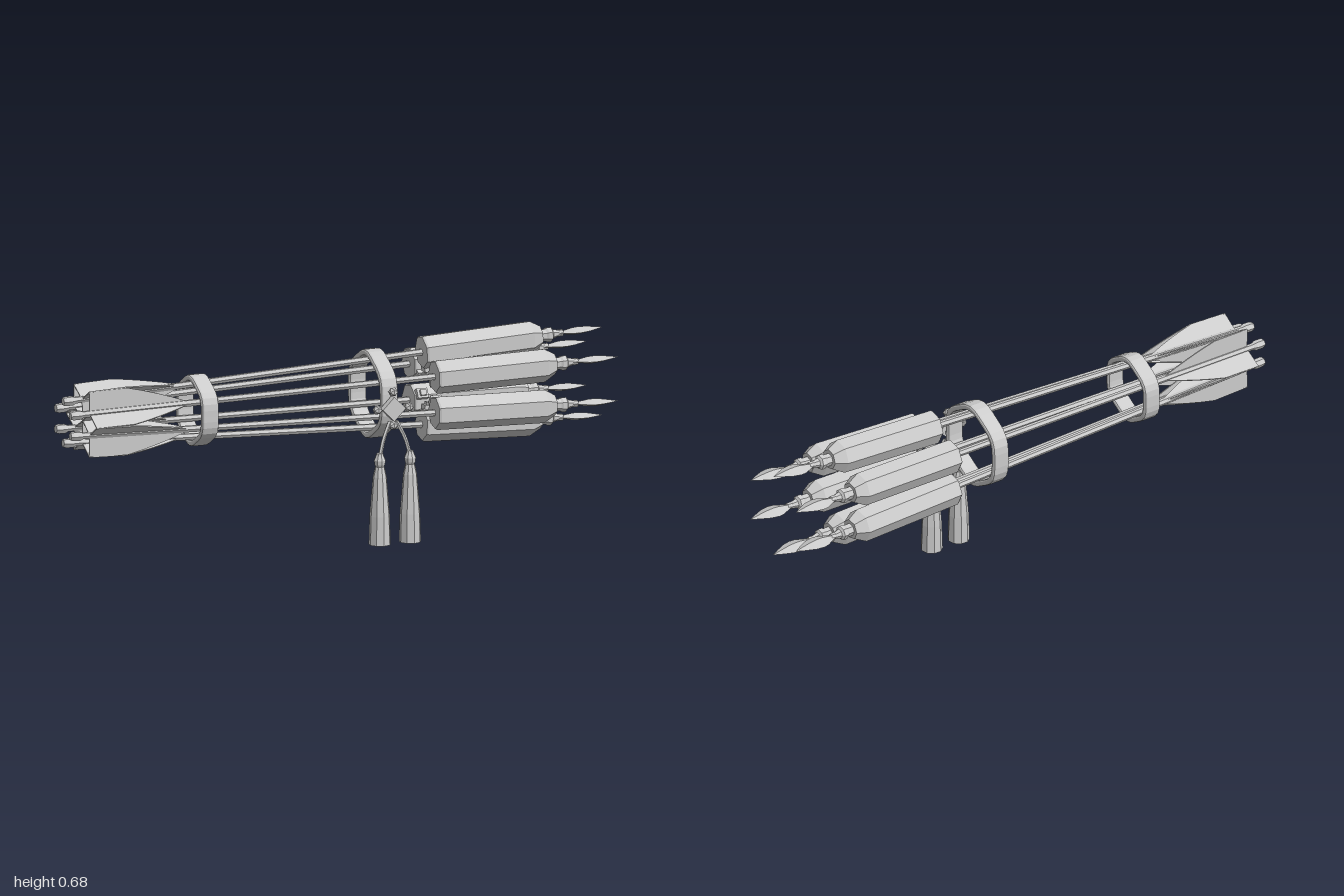
import * as THREE from 'three';

const mat = new THREE.MeshStandardMaterial({ color: 0xcccccc, flatShading: true, side: THREE.DoubleSide });
const CY = 0.4825, CZ = -0.021; // axis of the bundle

function add(parent, name, geo, x = 0, y = 0, z = 0) {
  const m = new THREE.Mesh(geo, mat);
  m.name = name;
  m.position.set(x, y, z);
  parent.add(m);
  return m;
}

// Faceted solid turned around the x axis from [x, radius] pairs
function turned(profile, sides) {
  const pts = profile.map(([x, r]) => new THREE.Vector2(r, x));
  return new THREE.LatheGeometry(pts, sides, Math.PI).rotateZ(-Math.PI / 2);
}

// Faceted solid turned around the y axis from [y, radius] pairs
function turnedUp(profile, sides) {
  return new THREE.LatheGeometry(profile.map(([y, r]) => new THREE.Vector2(r, y)), sides);
}

function finGeometry() {
  const s = new THREE.Shape();
  s.moveTo(-0.93, 0);
  s.lineTo(-0.93, 0.077);
  s.lineTo(-0.79, 0.076);
  s.quadraticCurveTo(-0.68, 0.05, -0.575, 0.008);
  s.lineTo(-0.575, 0);
  return new THREE.ExtrudeGeometry(s, { depth: 0.004, bevelEnabled: false, curveSegments: 4 }).translate(0, 0, -0.002);
}

// One rocket arrow; local +y points away from the bundle axis
function makeArrow(angle) {
  const arrow = new THREE.Group();
  arrow.name = 'rocketArrow';
  arrow.position.y = 0.1125;
  arrow.rotation.z = 0.0405;
  add(arrow, 'shaft', turned([[-0.995, 0], [-0.995, 0.012], [0.85, 0.012]], 6));
  add(arrow, 'nock', turned([[-1, 0], [-1, 0.014], [-0.99, 0.017], [-0.965, 0.017], [-0.955, 0.012]], 6));

  // Three fins: one towards the bundle axis, two spread outwards
  for (const a of [Math.PI, Math.PI / 3, -Math.PI / 3]) {
    add(arrow, 'fin', finGeometry()).rotation.x = a;
  }

  // Fuse knot on the inner side of the powder tube
  add(arrow, 'fuseKnot', new THREE.BoxGeometry(0.04, 0.026, 0.034), 0.352, -0.056, 0);
  add(arrow, 'fuseEnd', new THREE.BoxGeometry(0.022, 0.016, 0.02), 0.352, -0.07, 0);

  // Tube and blade keep the same upright orientation on every arrow
  const head = new THREE.Group();
  head.name = 'rocketHead';
  head.rotation.x = -angle;
  arrow.add(head);
  add(head, 'powderTube', turned([
    [0.328, 0], [0.328, 0.055], [0.335, 0.059], [0.725, 0.059], [0.765, 0.036], [0.765, 0],
  ], 7));
  add(head, 'socket', turned([
    [0.76, 0.022], [0.785, 0.022], [0.792, 0.026], [0.806, 0.026], [0.812, 0.017], [0.84, 0.01],
  ], 7));
  const blade = add(head, 'blade', turned([
    [0.815, 0.15], [0.85, 0.45], [0.885, 0.92], [0.905, 1], [0.935, 0.85], [0.97, 0.42], [0.999, 0],
  ], 4));
  blade.scale.set(1, 0.013, 0.039);

  const spoke = new THREE.Group();
  spoke.name = 'arrowMount';
  spoke.rotation.x = angle;
  spoke.add(arrow);
  return spoke;
}

// Rounded six-cornered strap around the bundle
function strapGeometry(outer, thickness) {
  const bevel = 0.006;
  const outline = (r) => Array.from({ length: 36 }, (_, i) => {
    const a = (i / 36) * Math.PI * 2;
    const q = r * (0.97 + 0.03 * Math.cos(6 * (a - Math.PI / 2)));
    return new THREE.Vector2(q * Math.cos(a), q * Math.sin(a));
  });
  const s = new THREE.Shape(outline(outer - bevel));
  s.holes.push(new THREE.Path(outline(outer - thickness + bevel)));
  return new THREE.ExtrudeGeometry(s, {
    depth: 0.044, bevelThickness: 0.009, bevelSize: bevel, bevelSegments: 2,
  }).translate(0, 0, -0.022).rotateY(Math.PI / 2);
}

function makeCharm() {
  const charm = new THREE.Group();
  charm.name = 'tasselCharm';
  charm.position.x = 0.148;
  // Diamond knot with a bead at each corner
  add(charm, 'knot', new THREE.BoxGeometry(0.06, 0.06, 0.026), 0, 0.463, 0.15).rotation.z = Math.PI / 4;
  for (let i = 0; i < 4; i++) {
    const a = (i * Math.PI) / 2;
    add(charm, 'bead', new THREE.IcosahedronGeometry(0.017, 0), 0.058 * Math.cos(a), 0.463 + 0.058 * Math.sin(a), 0.15);
  }
  // Peg joining the knot to the strap
  add(charm, 'peg', new THREE.BoxGeometry(0.024, 0.024, 0.05), 0, 0.463, 0.13);

  for (const side of [-1, 1]) {
    const x = side * 0.056;
    const cord = new THREE.CatmullRomCurve3([
      new THREE.Vector3(side * 0.012, 0.42, 0.15),
      new THREE.Vector3(side * 0.04, 0.36, 0.16),
      new THREE.Vector3(x, 0.3, 0.166),
    ]);
    add(charm, 'cord', new THREE.TubeGeometry(cord, 5, 0.007, 5));
    add(charm, 'tasselHead', turnedUp([
      [0.265, 0.013], [0.278, 0.019], [0.292, 0.021], [0.308, 0.014], [0.316, 0.012], [0.316, 0],
    ], 8), x, 0, 0.166);
    add(charm, 'tasselSkirt', turnedUp([
      [0, 0], [0, 0.038], [0.1, 0.035], [0.235, 0.024], [0.27, 0.016], [0.27, 0],
    ], 9), x, 0, 0.166);
  }
  return charm;
}

export function createModel() {
  const model = new THREE.Group();
  model.name = 'rocketArrowBundle';

  const bundle = new THREE.Group();
  bundle.name = 'arrowBundle';
  bundle.position.set(0, CY, CZ);
  for (let i = 0; i < 6; i++) bundle.add(makeArrow((i * Math.PI) / 3));
  add(bundle, 'rearStrap', strapGeometry(0.124, 0.021), -0.502);
  add(bundle, 'frontStrap', strapGeometry(0.154, 0.022), 0.148);
  model.add(bundle, makeCharm());
  return model;
}
